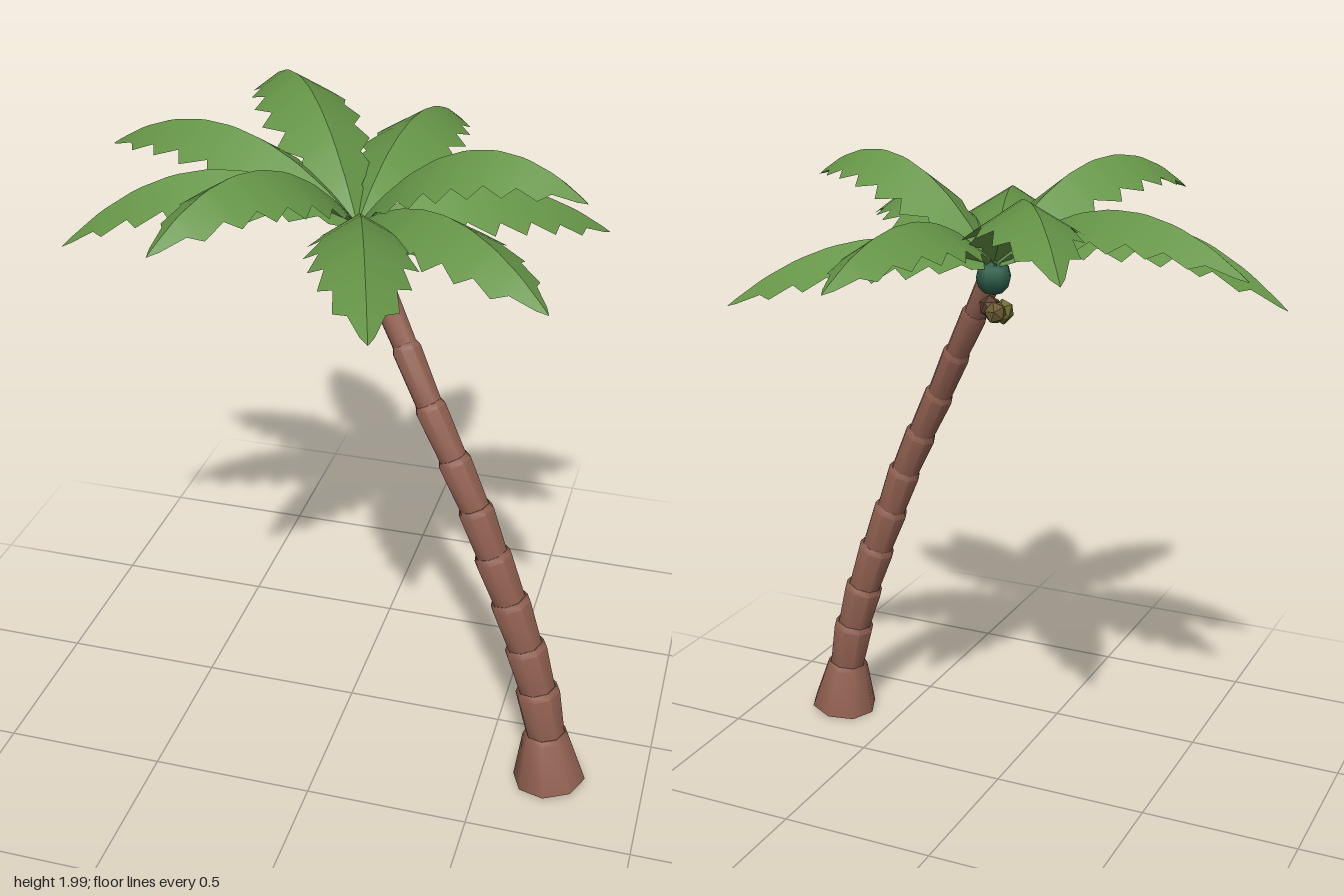
import * as THREE from 'three';
import { toCreasedNormals } from 'three/addons/utils/BufferGeometryUtils.js';

const mat = (color, extra = {}) => new THREE.MeshStandardMaterial({ color, ...extra });
const V = (x, y, z) => new THREE.Vector3(x, y, z);
const lerp = THREE.MathUtils.lerp;

// Half width of a frond along its length
const widths = [[0, 0.015], [0.15, 0.08], [0.3, 0.135], [0.5, 0.15], [0.65, 0.13], [0.82, 0.09], [1, 0]];
function halfWidth(t) {
  const i = Math.max(1, widths.findIndex((w) => w[0] >= t));
  const [a, b] = [widths[i - 1], widths[i]];
  return lerp(a[1], b[1], (t - a[0]) / (b[0] - a[0]));
}

// Arched frond: a ridge with two drooping, saw-toothed sides
function frondGeometry(root, tip, peak) {
  const along = V(tip.x - root.x, 0, tip.z - root.z);
  const side = V(-along.z, 0, along.x).normalize();
  const h = peak - root.y, d = tip.y - root.y;
  const a = 2 * (h + Math.sqrt(h * (h - d)));
  const spine = (t) => root.clone().addScaledVector(along, t).setY(root.y + a * t + (d - a) * t * t);
  const edge = (t, s, k) => {
    const w = halfWidth(t) * k;
    const p = spine(t).addScaledVector(side, s * w);
    p.y -= w * 0.62;
    return p;
  };

  // Each tooth runs from a notch out to a point, then cuts back
  const teeth = 8, stations = [];
  for (let k = 0; k < teeth; k++) {
    stations.push([k / teeth, k ? 0.76 : 1], [(k + 0.72) / teeth, 1.05]);
  }
  stations.push([1, 1]);

  const pos = [];
  const tri = (s, p, q, r) => (s > 0 ? [p, r, q] : [p, q, r]).forEach((v) => pos.push(v.x, v.y, v.z));
  for (const s of [-1, 1]) {
    for (let i = 0; i < stations.length - 1; i++) {
      const [t0, k0] = stations[i], [t1, k1] = stations[i + 1];
      const s0 = spine(t0), s1 = spine(t1), e0 = edge(t0, s, k0), e1 = edge(t1, s, k1);
      tri(s, s0, s1, e0);
      if (i < stations.length - 2) tri(s, s1, e1, e0);
    }
  }
  const geo = new THREE.BufferGeometry();
  geo.setAttribute('position', new THREE.Float32BufferAttribute(pos, 3));
  return toCreasedNormals(geo, 0.5);
}

function buildTrunk() {
  const trunk = new THREE.Group();
  trunk.name = 'trunk';
  const bark = mat(0x8f5f50);
  const joints = [
    [0.71, 0.02, 0.24], [0.69, 0.175, 0.235], [0.655, 0.335, 0.23], [0.61, 0.485, 0.227],
    [0.555, 0.64, 0.225], [0.495, 0.79, 0.22], [0.437, 0.935, 0.212], [0.365, 1.08, 0.195],
    [0.283, 1.23, 0.167], [0.198, 1.385, 0.122], [0.112, 1.53, 0.07], [0.03, 1.67, 0.02],
  ].map((p) => V(...p));
  const ringRadius = (i) => lerp(0.073, 0.038, (i - 1) / 10);

  // Flared foot, then cups that widen upward
  for (let i = 0; i < joints.length - 1; i++) {
    const dir = joints[i + 1].clone().sub(joints[i]);
    const len = dir.length();
    const top = ringRadius(i + 1);
    const profile = [[0, 0], [i ? ringRadius(i) * 0.82 : 0.113, 0], [top, len], [top * 0.85, len + 0.018], [0, len + 0.018]];
    const geo = new THREE.LatheGeometry(profile.map(([x, y]) => new THREE.Vector2(x, y)), 8);
    const mesh = new THREE.Mesh(toCreasedNormals(geo, 0.85), bark);
    mesh.name = i ? 'trunkSegment' : 'trunkFoot';
    mesh.position.copy(joints[i]);
    mesh.quaternion.setFromUnitVectors(V(0, 1, 0), dir.normalize());
    trunk.add(mesh);
  }
  return trunk;
}

export function createModel() {
  const tree = new THREE.Group();
  tree.name = 'palmTree';
  tree.add(buildTrunk());

  // Crown bud that joins the fronds to the trunk
  const bud = new THREE.Mesh(new THREE.SphereGeometry(0.055, 8, 6), mat(0x2c5c48));
  bud.name = 'crownBud';
  bud.position.set(0.02, 1.67, 0.012);
  tree.add(bud);

  // Fronds: tip x, y, z and height of the arch
  const fronds = new THREE.Group();
  fronds.name = 'fronds';
  const leaf = mat(0x659447, { side: THREE.DoubleSide });
  const root = V(0.02, 1.705, 0.012);
  [
    [0.69, 1.60, -0.38, 1.79], [0.14, 1.77, -0.77, 1.895], [-0.49, 1.84, -0.71, 1.98],
    [-0.82, 1.78, -0.225, 1.92], [-0.82, 1.61, 0.19, 1.86], [-0.335, 1.85, 0.70, 1.98],
    [0.26, 1.72, 0.77, 1.86], [0.655, 1.73, 0.505, 1.86], [0.69, 1.90, 0.17, 2.0],
  ].forEach(([x, y, z, peak]) => {
    const mesh = new THREE.Mesh(frondGeometry(root, V(x, y, z), peak), leaf);
    mesh.name = 'frond';
    fronds.add(mesh);
  });
  tree.add(fronds);

  // Coconuts hanging beside the trunk top
  [
    [-0.018, 1.572, -0.005, 0x6b6a30], [-0.012, 1.578, -0.045, 0x6a5a32], [0.012, 1.59, -0.03, 0x5a4030],
  ].forEach(([x, y, z, color], i) => {
    const nut = new THREE.Mesh(new THREE.IcosahedronGeometry(0.034, 0), mat(color, { flatShading: true }));
    nut.name = 'coconut';
    nut.position.set(x, y, z);
    nut.rotation.set(i, i * 2, 0.4);
    nut.scale.y = 1.2;
    tree.add(nut);
  });
  return tree;
}
